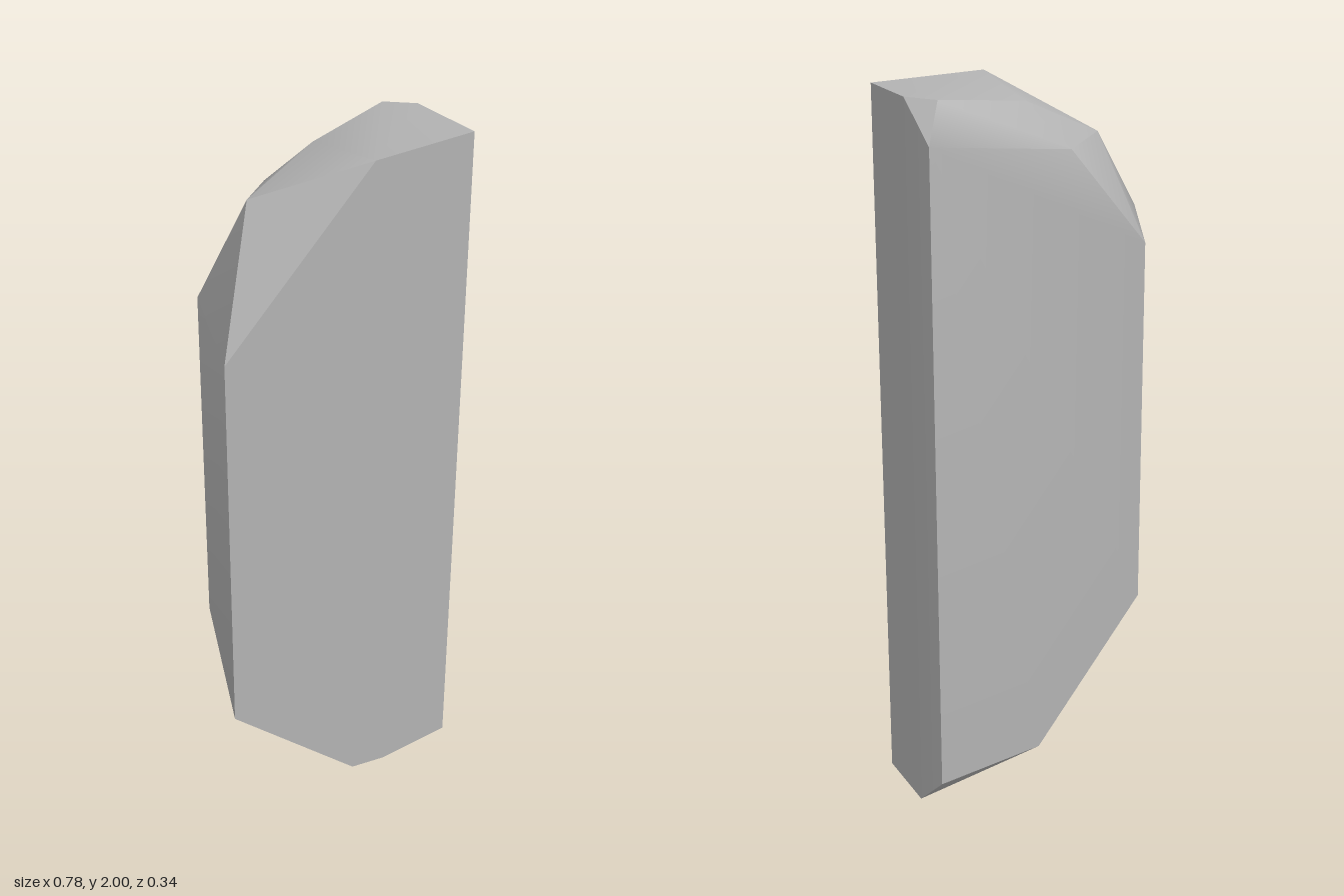
import * as THREE from 'three';
import { ConvexGeometry } from 'three/addons/geometries/ConvexGeometry.js';
import { toCreasedNormals } from 'three/addons/utils/BufferGeometryUtils.js';

export function createModel() {
  const group = new THREE.Group();
  group.name = 'stoneSlab';

  const stone = new THREE.MeshStandardMaterial({ color: 0xb2b2b2 });
  stone.name = 'stone grey';

  const at = (z, outline) => outline.map(([x, y]) => new THREE.Vector3(x, y, z));

  // Flat front face
  const front = at(0.17, [
    [-0.39, 0.46], [0.03, 0.04], [0.15, 0.01], [0.387, 0],
    [0.387, 1.99], [0.07, 2], [-0.39, 1.59],
  ]);

  // Smaller flat back face
  const back = at(-0.17, [
    [-0.235, 0.56], [0.075, 0.155], [0.372, 0.11],
    [0.372, 1.885], [-0.017, 1.845], [-0.235, 1.578],
  ]);

  // Corners of the chipped bevels between the two faces
  const chips = [
    [-0.14, 1.864, -0.075], [0.07, 1.96, -0.08], [0.325, 1.988, -0.118],
    [0.387, 1.99, -0.05], [0.387, 0.002, -0.05], [0.123, 0.067, -0.06],
  ].map((p) => new THREE.Vector3(...p));

  // Faceted hull with soft shading across the shallow bevels
  const hull = new ConvexGeometry([...front, ...back, ...chips]);
  const slab = new THREE.Mesh(toCreasedNormals(hull, 0.6), stone);
  slab.name = 'slab';
  group.add(slab);
  return group;
}
